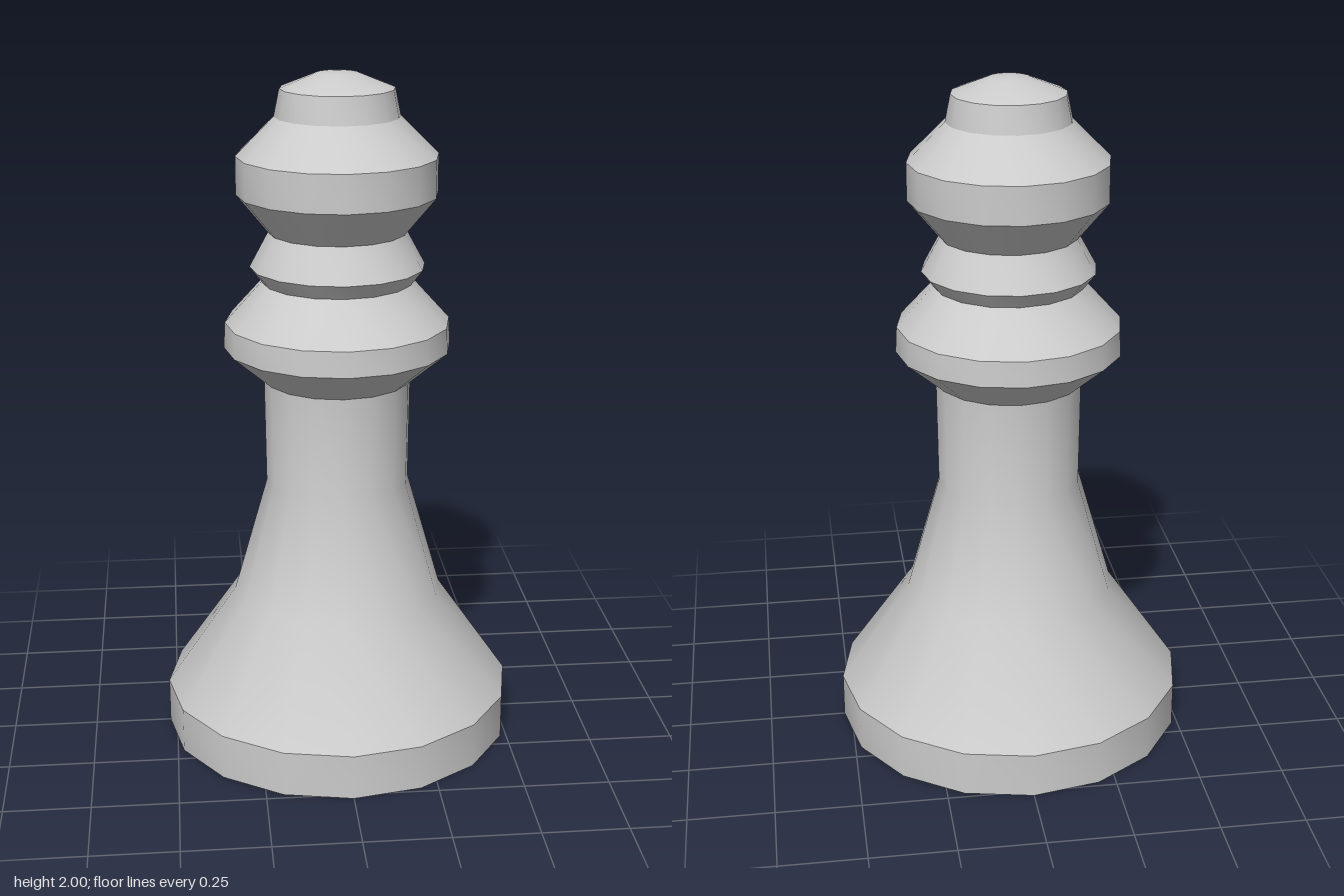
import * as THREE from 'three';
import { toCreasedNormals } from 'three/addons/utils/BufferGeometryUtils.js';

const SIDES = 16;
const CREASE = Math.PI / 6;

// Turned sections as [radius, height], bottom to top; each starts on the last ring of the one below
const sections = {
  base: [[0, 0], [0.522, 0], [0.522, 0.135]],
  stem: [[0.522, 0.135], [0.312, 0.44], [0.212, 0.79], [0.216, 1.105]],
  collar: [[0.216, 1.105], [0.332, 1.205], [0.328, 1.28], [0.22, 1.4]],
  neckRing: [[0.22, 1.4], [0.254, 1.445], [0.2, 1.545]],
  head: [[0.2, 1.545], [0.29, 1.655], [0.29, 1.765], [0.18, 1.875]],
  cap: [[0.18, 1.875], [0.164, 1.953], [0.06, 1.995], [0, 2]],
};

export function createModel() {
  const model = new THREE.Group();
  model.name = 'chessPiece';
  const material = new THREE.MeshStandardMaterial({ color: 0xcccccc });

  for (const [name, profile] of Object.entries(sections)) {
    const points = profile.map(([r, y]) => new THREE.Vector2(r, y));
    const lathe = new THREE.LatheGeometry(points, SIDES);
    const mesh = new THREE.Mesh(toCreasedNormals(lathe, CREASE), material);
    mesh.name = name;
    model.add(mesh);
  }
  return model;
}
